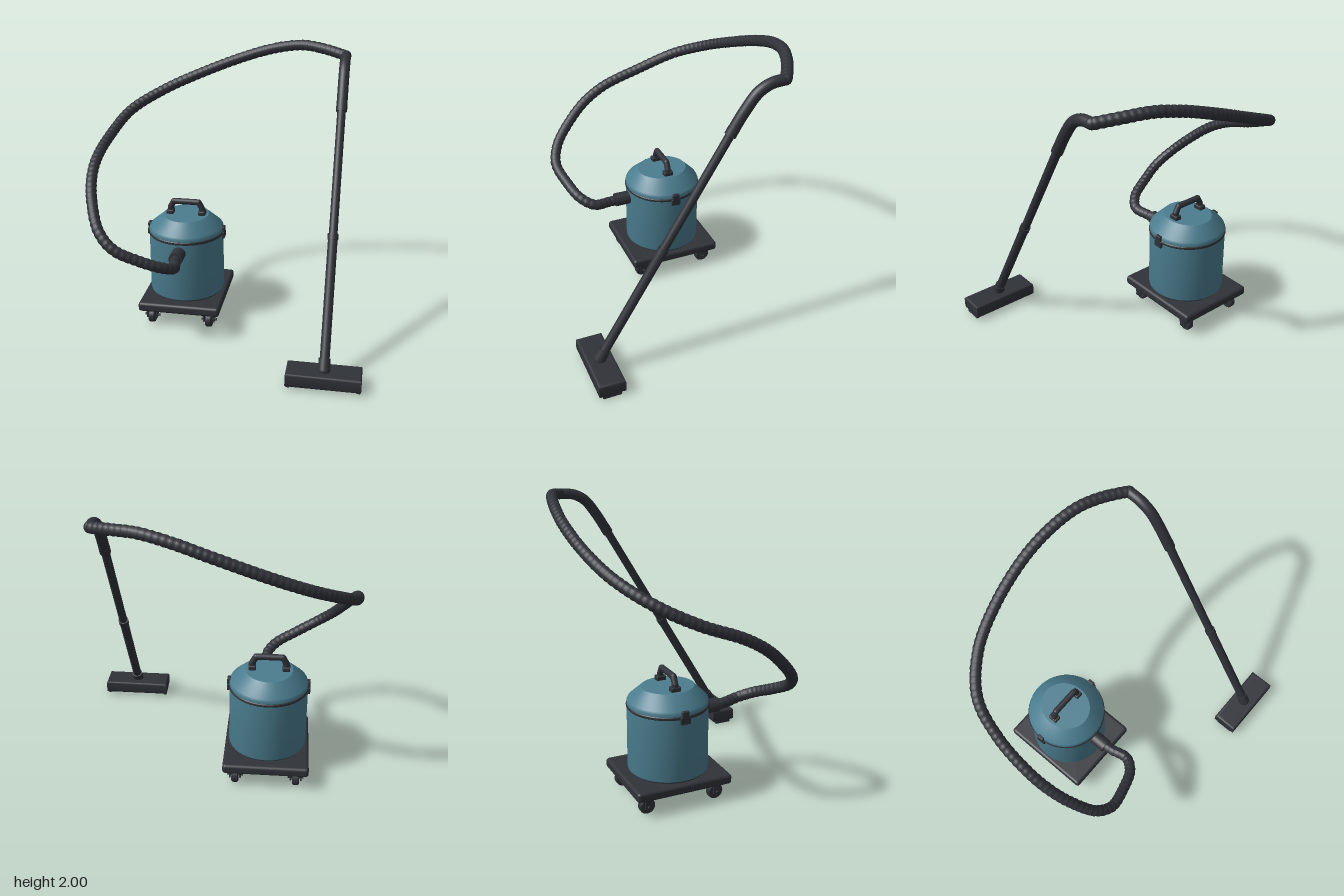
import * as THREE from 'three';
import { toCreasedNormals } from 'three/addons/utils/BufferGeometryUtils.js';
import { RoundedBoxGeometry } from 'three/addons/geometries/RoundedBoxGeometry.js';

const dark = new THREE.MeshStandardMaterial({ color: 0x2f3238 });
const teal = new THREE.MeshStandardMaterial({ color: 0x4b7d8f });
const v = (x, y, z) => new THREE.Vector3(x, y, z);

function add(parent, name, geometry, material, x = 0, y = 0, z = 0) {
  const mesh = new THREE.Mesh(geometry, material);
  mesh.name = name;
  mesh.position.set(x, y, z);
  parent.add(mesh);
  return mesh;
}

const box = (w, h, d, r = 0.01) => new RoundedBoxGeometry(w, h, d, 3, r);

function lathe(profile, segments = 48) {
  const points = profile.map(([r, y]) => new THREE.Vector2(r, y));
  return toCreasedNormals(new THREE.LatheGeometry(points, segments), 0.5);
}

// Capped cylinder running from a to b
function rod(parent, name, a, b, r0, r1 = r0) {
  const mesh = add(parent, name, new THREE.CylinderGeometry(r1, r0, a.distanceTo(b), 24), dark);
  mesh.position.copy(a).add(b).multiplyScalar(0.5);
  mesh.quaternion.setFromUnitVectors(v(0, 1, 0), b.clone().sub(a).normalize());
  return mesh;
}

function makeCaster() {
  const caster = new THREE.Group();
  caster.name = 'caster';
  const wheel = add(caster, 'wheel', lathe([
    [0, -0.024], [0.047, -0.024], [0.055, -0.016], [0.055, 0.016], [0.047, 0.024], [0, 0.024],
  ], 28), dark, 0, 0.055, 0);
  wheel.rotation.z = Math.PI / 2;
  rod(caster, 'axle', v(-0.056, 0.058, 0), v(0.056, 0.058, 0), 0.01);
  for (const s of [-1, 1]) add(caster, 'forkArm', box(0.012, 0.08, 0.05, 0.004), dark, s * 0.036, 0.08, 0);
  add(caster, 'forkTop', box(0.084, 0.014, 0.06, 0.004), dark, 0, 0.117, 0);
  return caster;
}

function makeBody() {
  const body = new THREE.Group();
  body.name = 'body';
  body.position.set(-0.363, 0, -0.19);

  // Wheeled platform
  add(body, 'platform', box(0.6, 0.07, 0.685, 0.022), dark, 0, 0.155, 0);
  for (const sx of [-1, 1]) for (const sz of [-1, 1]) {
    const caster = makeCaster();
    caster.position.set(sx * 0.214, 0, sz * 0.25);
    body.add(caster);
  }

  // Drum, seal and lid
  add(body, 'drumFoot', new THREE.CylinderGeometry(0.262, 0.262, 0.025, 48), dark, 0, 0.195, 0);
  add(body, 'drum', lathe([
    [0, 0.2], [0.266, 0.2], [0.273, 0.204], [0.275, 0.212], [0.275, 0.648], [0, 0.648],
  ]), teal);
  add(body, 'seal', lathe([
    [0, 0.645], [0.276, 0.645], [0.28, 0.65], [0.28, 0.662], [0.276, 0.667], [0, 0.667],
  ]), dark);
  const lid = new THREE.LatheGeometry([
    [0, 0.664], [0.275, 0.664], [0.275, 0.685], [0.268, 0.7], [0.183, 0.785], [0, 0.785],
  ].map(([r, y]) => new THREE.Vector2(r, y)), 48);
  // The flat top is a little narrower across than along
  const p = lid.attributes.position;
  for (let i = 0; i < p.count; i++) if (p.getY(i) > 0.78) p.setX(i, p.getX(i) * 0.9);
  add(body, 'lid', toCreasedNormals(lid, 0.5), teal);

  // Side latches
  for (const s of [-1, 1]) {
    add(body, 'latchBase', box(0.026, 0.05, 0.07, 0.006), dark, s * 0.277, 0.638, 0);
    add(body, 'latchClip', box(0.026, 0.055, 0.05, 0.006), dark, s * 0.277, 0.675, 0);
  }

  // Carrying handle
  const grip = new THREE.CurvePath();
  const g = [v(-0.118, 0.785, 0), v(-0.118, 0.83, 0), v(-0.092, 0.877, 0),
    v(0.092, 0.877, 0), v(0.118, 0.83, 0), v(0.118, 0.785, 0)];
  for (let i = 0; i < 5; i++) grip.add(new THREE.LineCurve3(g[i], g[i + 1]));
  for (let i = 0; i < 5; i++) rod(body, 'handleBar', g[i], g[i + 1], 0.022);
  for (let i = 1; i < 5; i++) add(body, 'handleJoint', new THREE.SphereGeometry(0.022, 20, 12), dark, g[i].x, g[i].y, 0);
  for (const s of [-1, 1]) add(body, 'handleFoot', box(0.052, 0.035, 0.07, 0.008), dark, s * 0.118, 0.798, 0);

  // Hose inlet
  rod(body, 'inlet', v(0, 0.58, 0.25), v(0, 0.58, 0.38), 0.05);
  return body;
}

// Ribbed hose sweeping round the body up to the wand
function makeHose(parent) {
  const path = new THREE.CatmullRomCurve3([
    v(-0.363, 0.58, 0.15), v(-0.355, 0.58, 0.24), v(-0.335, 0.595, 0.36), v(-0.40, 0.64, 0.45),
    v(-0.55, 0.71, 0.51), v(-0.70, 0.79, 0.54), v(-0.81, 0.89, 0.49), v(-0.89, 1.03, 0.36),
    v(-0.935, 1.15, 0.22), v(-0.95, 1.25, 0.05), v(-0.92, 1.36, -0.23), v(-0.83, 1.48, -0.47),
    v(-0.62, 1.6, -0.64), v(-0.36, 1.715, -0.725), v(-0.03, 1.845, -0.76), v(0.22, 1.925, -0.74),
    v(0.42, 1.96, -0.695), v(0.58, 1.95, -0.63), v(0.735, 1.925, -0.54),
  ], false, 'centripetal');
  const ribs = 90, sides = 16, steps = ribs * 4;
  const geo = new THREE.TubeGeometry(path, steps, 0.035, sides);
  const p = geo.attributes.position, n = geo.attributes.normal;
  for (let i = 0; i < p.count; i++) {
    const bulge = 0.004 * Math.abs(Math.sin(Math.floor(i / (sides + 1)) * Math.PI / 4));
    p.setXYZ(i, p.getX(i) + n.getX(i) * bulge, p.getY(i) + n.getY(i) * bulge, p.getZ(i) + n.getZ(i) * bulge);
  }
  geo.computeVertexNormals();
  add(parent, 'hose', geo, dark);
}

function makeWand() {
  const wand = new THREE.Group();
  wand.name = 'wand';
  wand.position.x = 0.737;
  // Points on the straight pipe, given by height
  const at = (y) => v(0, y, 0.68 - (y - 0.16) * 0.59);

  // Bent grip
  const bend = new THREE.CatmullRomCurve3([
    v(0, 1.925, -0.535), v(0, 1.915, -0.44), v(0, 1.87, -0.355), v(0, 1.76, -0.268), at(1.63),
  ]);
  add(wand, 'grip', new THREE.TubeGeometry(bend, 40, 0.037, 24), dark);
  add(wand, 'gripElbow', new THREE.SphereGeometry(0.038, 24, 16), dark, 0, 1.925, -0.535);
  rod(wand, 'gripCollar', at(1.615), at(1.66), 0.038);

  // Pipe with its joints
  rod(wand, 'lowerPipe', at(0.16), at(0.88), 0.032);
  rod(wand, 'upperPipe', at(0.88), at(1.64), 0.029);
  rod(wand, 'pipeJoint', at(0.855), at(0.89), 0.036);
  rod(wand, 'neck', at(0.12), at(0.185), 0.04, 0.039);
  add(wand, 'swivel', new THREE.SphereGeometry(0.042, 24, 16), dark, 0, 0.118, 0.7);
  return wand;
}

function makeFloorHead() {
  const head = new THREE.Group();
  head.name = 'floorHead';
  head.position.set(0.737, 0, 0.7);
  const rect = (path, w, d) => {
    path.moveTo(-w, -d); path.lineTo(w, -d); path.lineTo(w, d); path.lineTo(-w, d); path.closePath();
    return path;
  };
  // Hollow shell, open underneath
  const outline = rect(new THREE.Shape(), 0.233, 0.078);
  outline.holes.push(rect(new THREE.Path(), 0.215, 0.06));
  const shell = new THREE.ExtrudeGeometry(outline, {
    depth: 0.067, bevelSize: 0.014, bevelThickness: 0.014, bevelSegments: 3,
  });
  shell.rotateX(-Math.PI / 2);
  add(head, 'headShell', toCreasedNormals(shell, 0.6), dark, 0, 0.034, 0);
  add(head, 'headTop', new THREE.BoxGeometry(0.44, 0.045, 0.13), dark, 0, 0.0925, 0);
  add(head, 'headRib', new THREE.BoxGeometry(0.07, 0.05, 0.11), dark, 0, 0.055, 0);
  for (const s of [-1, 1]) add(head, 'skid', box(0.026, 0.03, 0.13, 0.006), dark, s * 0.23, 0.015, 0);
  return head;
}

export function createModel() {
  const model = new THREE.Group();
  model.name = 'vacuumCleaner';
  model.add(makeBody(), makeWand(), makeFloorHead());
  makeHose(model);
  return model;
}
